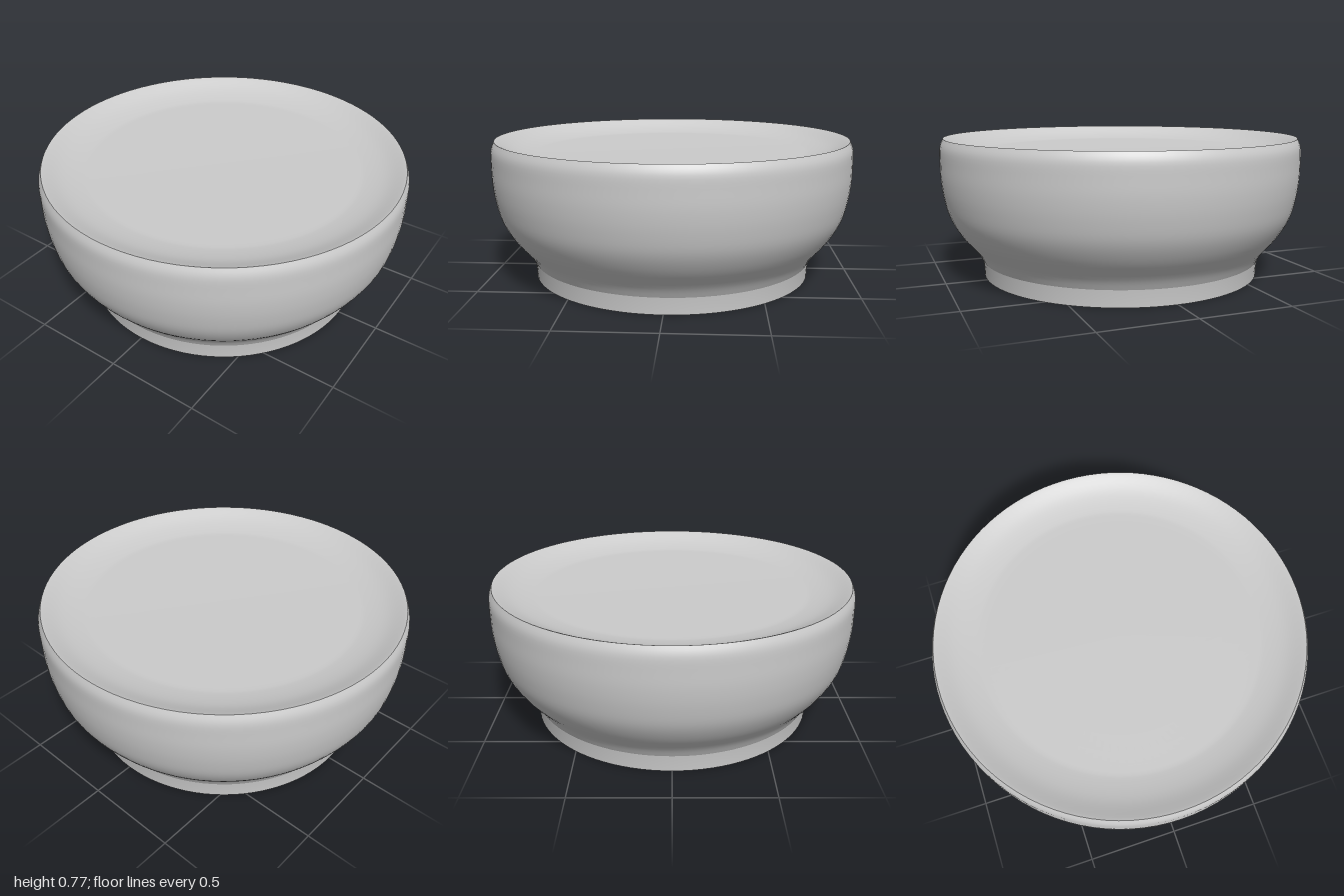
import * as THREE from 'three';
import { toCreasedNormals } from 'three/addons/utils/BufferGeometryUtils.js';

const SEGMENTS = 96;
const v = (r, y) => new THREE.Vector2(r, y);

export function createModel() {
  const group = new THREE.Group();
  group.name = 'filledBowl';
  const material = new THREE.MeshStandardMaterial({ color: 0xcccccc });

  // Revolved part from a profile running from bottom to top
  function addLathe(name, points) {
    const geometry = toCreasedNormals(new THREE.LatheGeometry(points, SEGMENTS), 0.8);
    const mesh = new THREE.Mesh(geometry, material);
    mesh.name = name;
    group.add(mesh);
  }

  // Flat underside and short, nearly upright foot
  addLathe('foot', [v(0, 0), v(0.778, 0), v(0.78, 0.045), v(0.785, 0.09)]);

  // Rounded wall flaring out from the foot, closing in slightly at the lip
  const wall = new THREE.SplineCurve([
    v(0.785, 0.09), v(0.82, 0.15), v(0.9, 0.245), v(0.957, 0.345),
    v(0.985, 0.45), v(0.998, 0.55), v(1, 0.64), v(0.998, 0.72), v(0.98, 0.768),
  ]);
  addLathe('bowlWall', wall.getPoints(32));

  // Shallow dished top: sloping rim easing into a level floor
  const dish = new THREE.SplineCurve([
    v(0.98, 0.768), v(0.965, 0.762), v(0.88, 0.725), v(0.78, 0.702), v(0.7, 0.697), v(0.4, 0.695),
  ]);
  addLathe('dishedTop', [...dish.getPoints(20), v(0, 0.695)]);

  return group;
}
